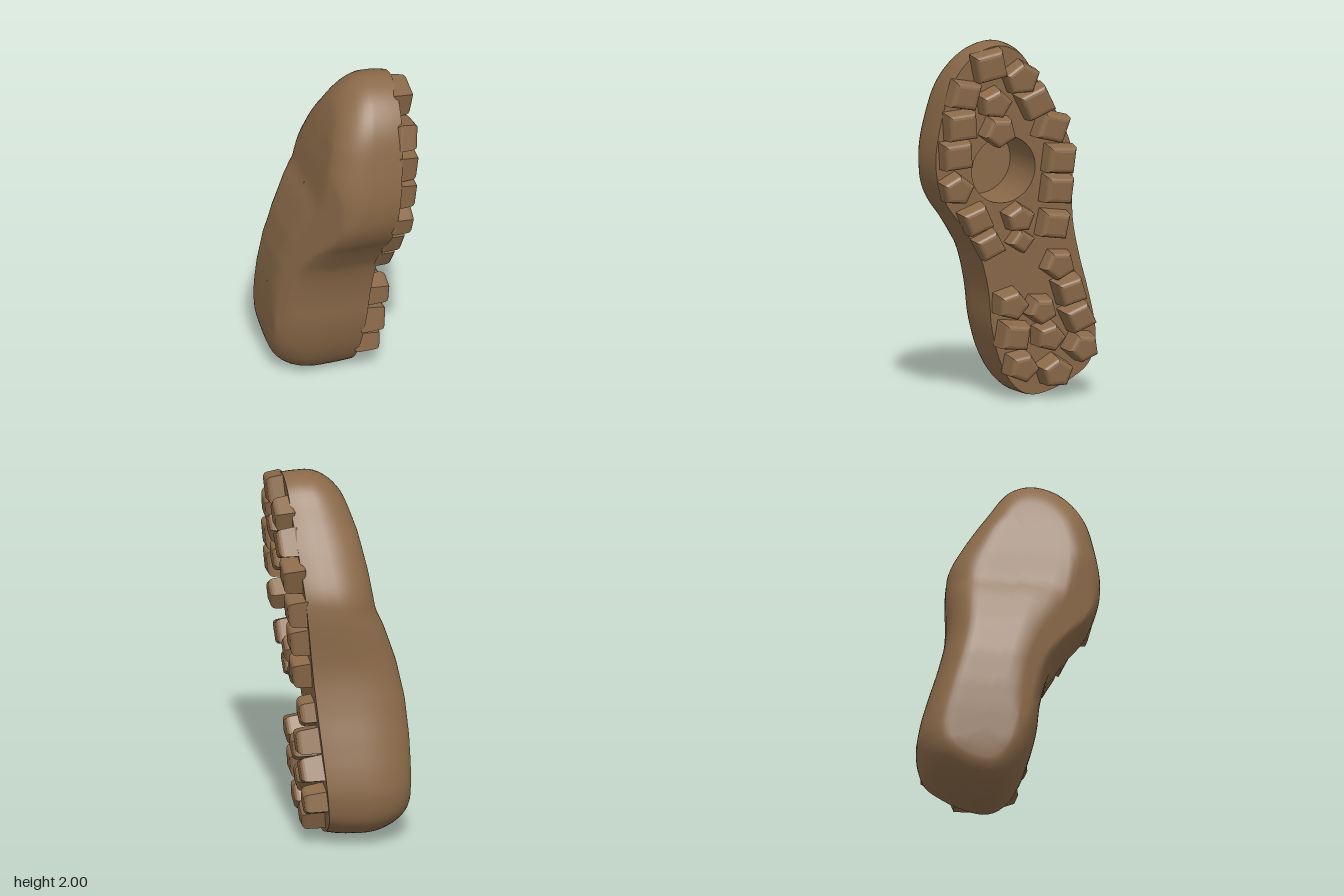
import * as THREE from 'three';
import { mergeVertices } from 'three/addons/utils/BufferGeometryUtils.js';

const rubber = new THREE.MeshStandardMaterial({ color: 0x8b6a49, side: THREE.DoubleSide });
rubber.name = 'brown rubber';

// Footprint, heel to toe and back, as [u, v] with u = -z and v = y
const footprint = [
  [0.13, 0], [0.25, 0.02], [0.36, 0.065], [0.47, 0.15], [0.51, 0.3], [0.495, 0.43], [0.45, 0.6],
  [0.39, 0.8], [0.347, 1.0], [0.34, 1.3], [0.323, 1.42], [0.23, 1.6], [0.1, 1.8], [0.035, 1.9],
  [-0.03, 1.965], [-0.14, 2], [-0.27, 1.965], [-0.36, 1.89], [-0.43, 1.78], [-0.48, 1.6], [-0.51, 1.37],
  [-0.485, 1.21], [-0.43, 1.1], [-0.35, 1.0], [-0.28, 0.9], [-0.22, 0.8], [-0.165, 0.6],
  [-0.14, 0.4], [-0.08, 0.2], [-0.01, 0.08], [0.06, 0.02]
];
const curve = new THREE.CatmullRomCurve3(footprint.map(([u, v]) => new THREE.Vector3(u, v, 0)), true);
const outline = curve.getSpacedPoints(144).slice(0, -1);

// Tilted tread plane
const soleX = y => 0.1 + 0.083 * y;

// Height of the upper surface, high at the heel and stepping down to the toe
const backProfile = [[0, -0.32], [0.25, -0.352], [0.45, -0.357], [0.6, -0.355], [0.8, -0.34], [1.0, -0.3],
  [1.2, -0.235], [1.3, -0.19], [1.5, -0.16], [1.7, -0.118], [2, -0.02]];
function backX(y) {
  const p = backProfile;
  let i = 1;
  while (i < p.length - 1 && y > p[i][0]) i++;
  const t = (y - p[i - 1][0]) / (p[i][0] - p[i - 1][0]);
  return p[i - 1][1] + t * (p[i][1] - p[i - 1][1]);
}

// Slanted limit that thins the upper towards +z
const slantX = z => -0.358 + 0.56 * (z - 0.01);

// Centre line that the rounded upper closes onto
const spine = new THREE.Line3(new THREE.Vector3(0.17, 0.35, 0), new THREE.Vector3(-0.1, 1.6, 0));

// The outline moved a share of the way to the centre line
function shrunkOutline(share, weight = () => 1) {
  const near = new THREE.Vector3();
  return outline.map(p => {
    spine.closestPointToPoint(p, true, near);
    return p.clone().lerp(near, share * weight(p.x - near.x));
  });
}

// The tread rim is soft on the -z side and nearly sharp on the +z side
const rimShare = 0.075;
const rimWeight = du => 0.25 + 0.75 * THREE.MathUtils.smoothstep(du, -0.15, 0.25);
const hole = { u: -0.097, v: 1.29, r: 0.188, floorX: -0.14 };

function bodyGeometry() {
  // Each ring: share of the way to the centre line, depth fraction, weight
  const rings = [[rimShare, 0, rimWeight], [0.035, 0.12, rimWeight], [0.012, 0.25, rimWeight], [0, 0.45]];
  for (let k = 1; k <= 10; k++) {
    const a = (k / 10) * Math.PI / 2;
    rings.push([0.45 * (1 - Math.cos(a)), 0.45 + 0.55 * Math.sin(a)]);
  }
  rings.push([0.6, 1], [0.8, 1], [1, 1]);

  const pos = [], index = [], n = outline.length;
  for (const [share, f, weight] of rings) {
    for (const q of shrunkOutline(share, weight)) {
      const x = THREE.MathUtils.lerp(soleX(q.y), backX(q.y), f);
      pos.push(Math.max(x, slantX(-q.x)), q.y, -q.x);
    }
  }
  for (let k = 0; k < rings.length - 1; k++) {
    for (let i = 0; i < n; i++) {
      const j = (i + 1) % n, a = k * n + i, b = k * n + j, c = a + n, d = b + n;
      index.push(a, c, b, b, c, d);
    }
  }
  const g = new THREE.BufferGeometry();
  g.setAttribute('position', new THREE.Float32BufferAttribute(pos, 3));
  g.setIndex(index);
  const merged = mergeVertices(g, 1e-4);
  merged.computeVertexNormals();
  return merged;
}

function treadPlateGeometry() {
  const shape = new THREE.Shape(shrunkOutline(rimShare, rimWeight).map(q => new THREE.Vector2(q.x, q.y)));
  shape.holes.push(new THREE.Path().absarc(hole.u, hole.v, hole.r, 0, Math.PI * 2, true));
  const g = new THREE.ShapeGeometry(shape, 24);
  const p = g.attributes.position;
  for (let i = 0; i < p.count; i++) p.setXYZ(i, soleX(p.getY(i)), p.getY(i), -p.getX(i));
  g.computeVertexNormals();
  return g;
}

function recessWallGeometry() {
  const g = new THREE.CylinderGeometry(hole.r, hole.r, 1, 48, 1, true);
  g.rotateZ(-Math.PI / 2);
  const p = g.attributes.position;
  for (let i = 0; i < p.count; i++) {
    const y = p.getY(i) + hole.v;
    p.setXYZ(i, p.getX(i) > 0 ? soleX(y) : hole.floorX, y, p.getZ(i) - hole.u);
  }
  return g;
}

// Lugs: [z, y, radius, sides, turn in degrees]
const lugs = [
  [0.22, 1.89, 0.11, 4, 57], [0.03, 1.81, 0.1, 5, 20], [0.365, 1.735, 0.102, 4, 33],
  [0.185, 1.68, 0.09, 5, 80], [-0.06, 1.67, 0.11, 4, 70], [0.38, 1.565, 0.107, 4, 50],
  [0.155, 1.52, 0.094, 5, 50], [-0.16, 1.525, 0.106, 4, 28], [0.4, 1.4, 0.104, 4, 50],
  [-0.215, 1.34, 0.104, 4, 40], [0.395, 1.21, 0.092, 5, 85], [-0.207, 1.17, 0.104, 4, 40],
  [0.27, 1.03, 0.096, 4, 68], [0.02, 1.025, 0.083, 5, 90], [-0.19, 0.975, 0.1, 4, 36],
  [0.185, 0.88, 0.088, 4, 72], [0, 0.895, 0.068, 4, 10], [-0.23, 0.745, 0.09, 5, 50],
  [-0.295, 0.6, 0.096, 4, 62], [0.055, 0.545, 0.092, 5, 0], [-0.122, 0.505, 0.085, 5, 50],
  [-0.35, 0.45, 0.096, 4, 70], [0.03, 0.365, 0.1, 4, 38], [-0.175, 0.35, 0.086, 5, 0],
  [-0.375, 0.28, 0.09, 5, 45], [-0.02, 0.19, 0.09, 5, 65], [-0.222, 0.15, 0.094, 5, 90]
];

function lugGeometry(radius, sides, turn, height) {
  const bevel = 0.025, sunk = 0.025, squash = 0.88, pts = [];
  for (let i = 0; i < sides; i++) {
    const a = THREE.MathUtils.degToRad(turn + (360 * i) / sides);
    pts.push(new THREE.Vector2(Math.cos(a), Math.sin(a) * squash).multiplyScalar(radius - bevel));
  }
  const g = new THREE.ExtrudeGeometry(new THREE.Shape(pts), {
    depth: height + sunk - 2 * bevel, bevelSize: bevel, bevelThickness: bevel, bevelSegments: 3
  });
  g.translate(0, 0, bevel - sunk);
  // Slight taper towards the tip
  const p = g.attributes.position;
  for (let i = 0; i < p.count; i++) {
    const s = 1.05 - Math.max(0, p.getZ(i));
    p.setXY(i, p.getX(i) * s, p.getY(i) * s);
  }
  g.computeVertexNormals();
  g.rotateX(0.083);
  g.rotateY(Math.PI / 2);
  return g;
}

export function createModel() {
  const model = new THREE.Group();
  model.name = 'lugged sole';
  const add = (name, geometry, parent = model) => {
    const mesh = new THREE.Mesh(geometry, rubber);
    mesh.name = name;
    parent.add(mesh);
    return mesh;
  };

  add('soleBody', bodyGeometry());
  add('treadPlate', treadPlateGeometry());

  // Round recess under the ball of the foot
  add('recessWall', recessWallGeometry());
  const floor = add('recessFloor', new THREE.CircleGeometry(hole.r, 48));
  floor.rotation.y = Math.PI / 2;
  floor.position.set(hole.floorX, hole.v, -hole.u);

  // Heel lugs stand taller than those under the arch and toe
  const tread = new THREE.Group();
  tread.name = 'treadLugs';
  model.add(tread);
  for (const [z, y, radius, sides, turn] of lugs) {
    const height = y < 0.7 ? 0.125 : y < 0.9 ? 0.085 : y < 1.7 ? 0.1 : 0.09;
    const lug = add('lug', lugGeometry(radius, sides, turn, height), tread);
    lug.position.set(soleX(y), y, z);
  }
  return model;
}
